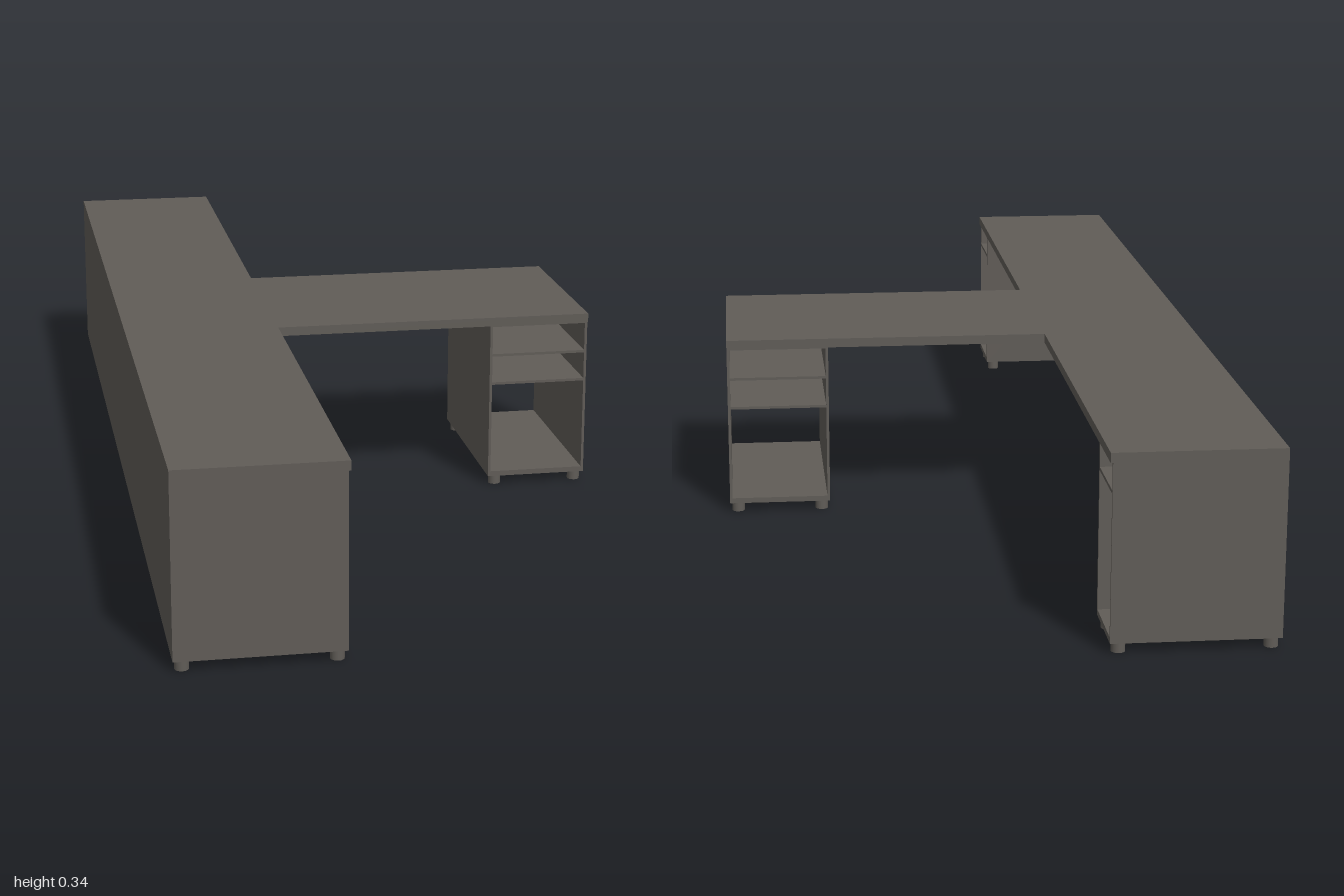
import * as THREE from 'three';

const material = new THREE.MeshStandardMaterial({ color: 0x605c57 });
material.name = 'taupe laminate';

// Box given by its minimum and maximum on each axis
function board(parent, name, x0, x1, y0, y1, z0, z1) {
  const mesh = new THREE.Mesh(new THREE.BoxGeometry(x1 - x0, y1 - y0, z1 - z0), material);
  mesh.position.set((x0 + x1) / 2, (y0 + y1) / 2, (z0 + z1) / 2);
  mesh.name = name;
  parent.add(mesh);
}

const FLOOR = 0.018, UNDER = 0.325, TOP = 0.342, T = 0.005;

// Short round feet at the four corners of a cabinet
function addFeet(parent, x0, x1, z0, z1) {
  const inset = 0.016;
  for (const x of [x0 + inset, x1 - inset]) {
    for (const z of [z0 + inset, z1 - inset]) {
      const foot = new THREE.Mesh(new THREE.CylinderGeometry(0.012, 0.012, FLOOR, 16), material);
      foot.position.set(x, FLOOR / 2, z);
      foot.name = 'foot';
      parent.add(foot);
    }
  }
}

export function createModel() {
  const desk = new THREE.Group();
  desk.name = 'tShapedDesk';

  // Worktops
  board(desk, 'longWorktop', -0.45, -0.16, UNDER, TOP, -1, 1);
  board(desk, 'returnWorktop', -0.16, 0.448, UNDER, TOP, -0.195, 0.195);

  // Full-length panel behind the long worktop
  board(desk, 'backPanel', -0.45, -0.443, FLOOR, UNDER, -1, 1);

  // End cabinets, open towards the return
  for (const side of [1, -1]) {
    const cabinet = new THREE.Group();
    cabinet.name = side > 0 ? 'frontEndCabinet' : 'backEndCabinet';
    const z0 = side > 0 ? 0.86 : -1, z1 = z0 + 0.14;
    const x0 = -0.443, x1 = -0.164;
    board(cabinet, 'sidePanel', x0, x1, FLOOR, UNDER, z0, z0 + T);
    board(cabinet, 'sidePanel', x0, x1, FLOOR, UNDER, z1 - T, z1);
    board(cabinet, 'bottomPanel', x0, x1, FLOOR, 0.028, z0 + T, z1 - T);
    board(cabinet, 'shelf', x0, x1, 0.272, 0.278, z0 + T, z1 - T);
    board(cabinet, 'topRail', x0, x1, UNDER - 0.003, UNDER, z0 + T, z1 - T);
    addFeet(cabinet, -0.45, x1, z0, z1);
    desk.add(cabinet);
  }

  // Return cabinet, open through front and back
  const cabinet = new THREE.Group();
  cabinet.name = 'returnCabinet';
  const x0 = 0.255, x1 = 0.448, z = 0.19;
  board(cabinet, 'sidePanel', x0, x0 + T, FLOOR, UNDER, -z, z);
  board(cabinet, 'sidePanel', x1 - T, x1, FLOOR, UNDER, -z, z);
  board(cabinet, 'bottomPanel', x0 + T, x1 - T, FLOOR, 0.028, -z, z);
  for (const y of [0.208, 0.265]) board(cabinet, 'shelf', x0 + T, x1 - T, y - 0.0025, y + 0.0025, -z, z);
  board(cabinet, 'topRail', x0 + T, x1 - T, UNDER - 0.003, UNDER, -z, z);
  addFeet(cabinet, x0, x1, -z, z);
  desk.add(cabinet);

  return desk;
}
